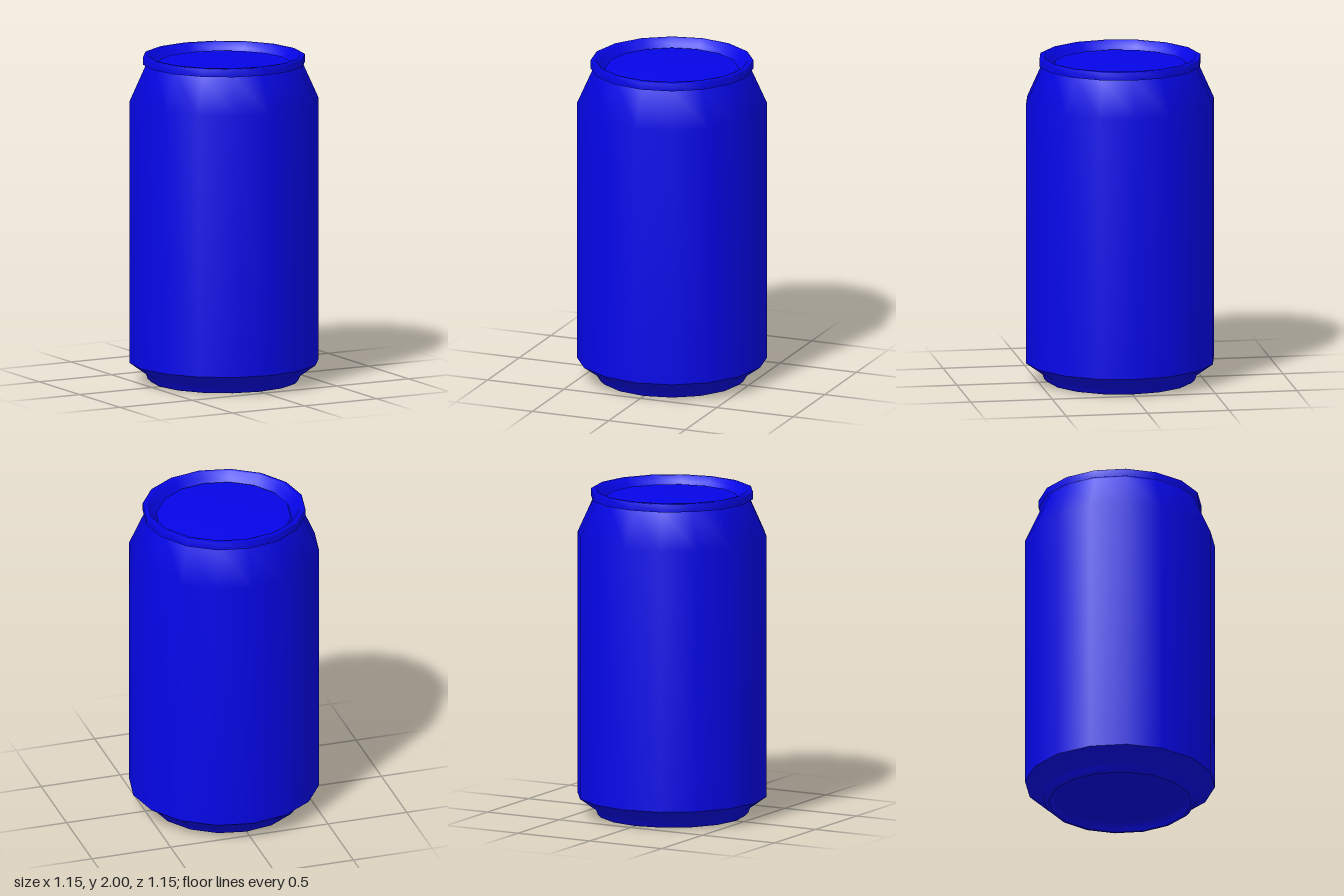
import * as THREE from 'three';

const SIDES = 16;

export function createModel() {
  const can = new THREE.Group();
  can.name = 'drinkCan';
  const paint = new THREE.MeshStandardMaterial({ color: 0x0505e8 });

  // Each part is a 16-sided lathe; profiles run [radius, height] from bottom centre to top centre
  const addRing = (name, profile) => {
    const points = profile.map(([r, y]) => new THREE.Vector2(r, y));
    const mesh = new THREE.Mesh(new THREE.LatheGeometry(points, SIDES), paint);
    mesh.name = name;
    can.add(mesh);
  };

  // Recessed underside
  addRing('bottomPanel', [[0, 0.065], [0.405, 0.05], [0.43, 0]]);

  // Standing ring, groove and sloped base
  addRing('footRing', [[0.43, 0], [0.445, 0], [0.465, 0.02], [0.475, 0.048], [0.576, 0.12]]);

  // Straight wall flowing into the shoulder, tucked under the rim
  addRing('body', [[0.576, 0.12], [0.576, 1.725], [0.475, 1.95], [0.494, 1.95]]);

  // Rolled rim, sloping inward to the groove around the lid
  addRing('rim', [[0.494, 1.95], [0.494, 1.995], [0.485, 2], [0.462, 2], [0.445, 1.965], [0.412, 1.93]]);

  // Lid panel with a steep edge rising out of the groove
  addRing('lidPanel', [[0.412, 1.93], [0.4, 1.955], [0, 1.96]]);

  return can;
}
